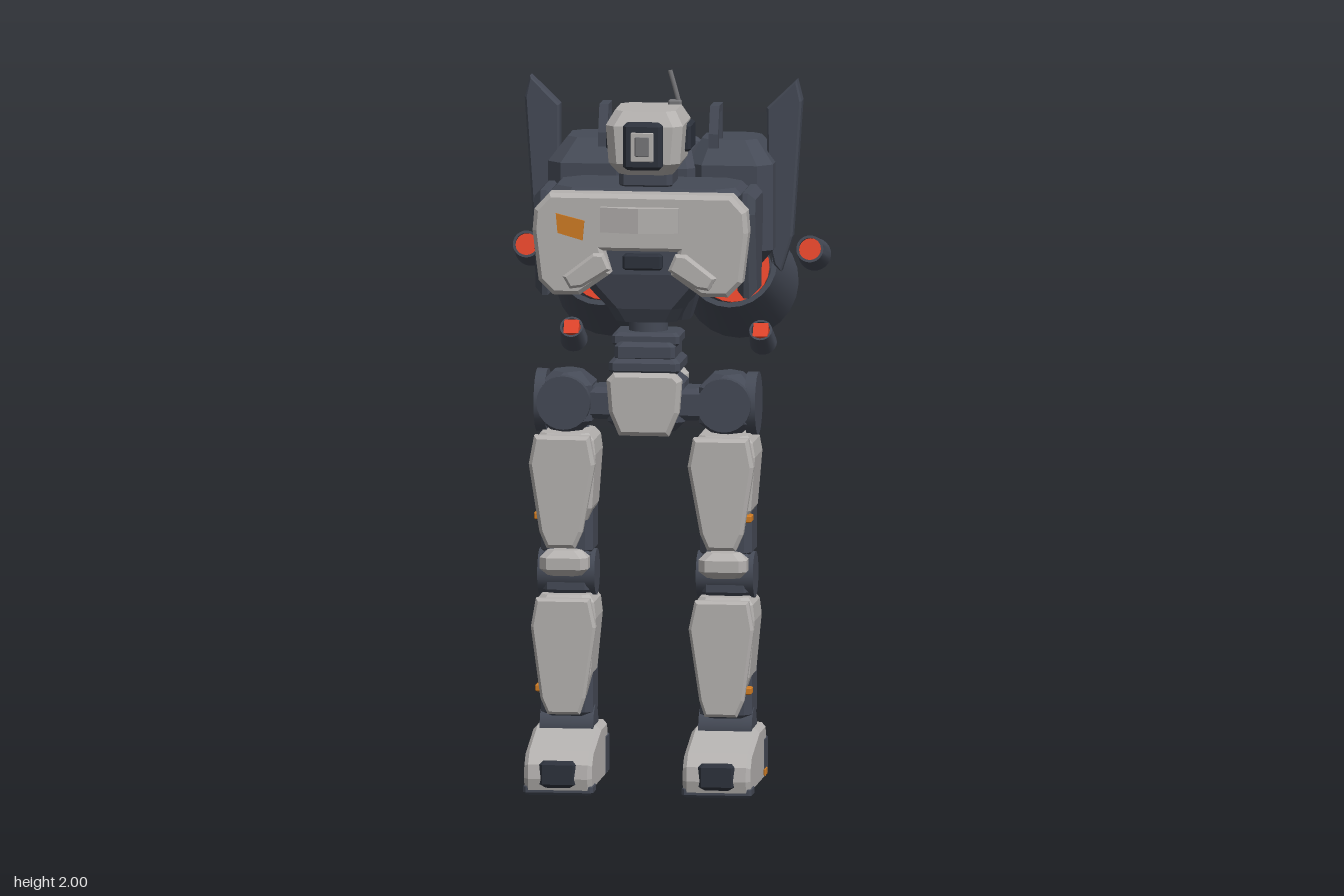
import * as THREE from 'three';
import { toCreasedNormals } from 'three/addons/utils/BufferGeometryUtils.js';

const paint = (name, color) => new THREE.MeshStandardMaterial({ name, color, side: THREE.DoubleSide });

export function createModel() {
  const root = new THREE.Group();
  root.name = 'walkingRobot';
  const dark = paint('slateFrame', 0x454a56);
  const light = paint('paleArmour', 0xb5b2b0);
  const black = paint('darkGlass', 0x2d323c);
  const grey = paint('midGrey', 0x77777a);
  const orange = paint('orangeMark', 0xd07c24);
  const red = paint('redGlow', 0xe2452b);

  const add = (name, geo, mat, parent = root) => {
    const m = new THREE.Mesh(geo, mat);
    m.name = name;
    parent.add(m);
    return m;
  };

  // Stacked chamfered rectangles, each [y, x0, x1, z0, z1, chamfer], from bottom to top
  const loft = (name, mat, rows, s = 1, parent = root) => {
    const pos = [], idx = [];
    rows.forEach(([y, a, b, z0, z1, c]) => {
      const x0 = s < 0 ? -b : a, x1 = s < 0 ? -a : b;
      [[x0 + c, z1], [x1 - c, z1], [x1, z1 - c], [x1, z0 + c], [x1 - c, z0], [x0 + c, z0], [x0, z0 + c], [x0, z1 - c]]
        .forEach(([x, z]) => pos.push(x, y, z));
    });
    for (let i = 0; i < rows.length - 1; i++) {
      for (let j = 0; j < 8; j++) {
        const a = i * 8 + j, b = i * 8 + (j + 1) % 8;
        idx.push(a, b, b + 8, a, b + 8, a + 8);
      }
    }
    const t = (rows.length - 1) * 8;
    for (let j = 1; j < 7; j++) idx.push(0, j + 1, j, t, t + j, t + j + 1);
    let g = new THREE.BufferGeometry();
    g.setAttribute('position', new THREE.Float32BufferAttribute(pos, 3));
    g.setIndex(idx);
    g = g.toNonIndexed();
    g.computeVertexNormals();
    return add(name, g, mat, parent);
  };

  // Block with all edges chamfered, given by its limits
  const block = (name, mat, x0, x1, y0, y1, z0, z1, c = 0.01, s = 1, parent = root) => loft(name, mat, [
    [y0, x0 + c, x1 - c, z0 + c, z1 - c, c], [y0 + c, x0, x1, z0, z1, c],
    [y1 - c, x0, x1, z0, z1, c], [y1, x0 + c, x1 - c, z0 + c, z1 - c, c]], s, parent);

  // Outline in x and y, extruded between two z values
  const plate = (name, mat, pts, z0, z1, bevel = 0, s = 1, parent = root) => {
    const g = new THREE.ExtrudeGeometry(new THREE.Shape(pts.map(([x, y]) => new THREE.Vector2(x * s, y))), {
      depth: z1 - z0 - 2 * bevel, bevelEnabled: bevel > 0, bevelSize: bevel, bevelOffset: -bevel,
      bevelThickness: bevel, bevelSegments: 1 });
    return add(name, g.translate(0, 0, z0 + bevel), mat, parent);
  };

  // Outline in z and y, extruded across x
  const sidePlate = (name, mat, pts, x0, x1, bevel = 0, s = 1, parent = root) => {
    const m = plate(name, mat, pts, -(x1 - x0) / 2, (x1 - x0) / 2, bevel, 1, parent);
    m.geometry.rotateY(-Math.PI / 2).translate(s * (x0 + x1) / 2, 0, 0);
    return m;
  };

  const drum = (name, mat, r, len, axis, x, y, z, parent = root) => {
    const g = new THREE.CylinderGeometry(r, r, len, 24);
    if (axis === 'x') g.rotateZ(Math.PI / 2);
    if (axis === 'z') g.rotateX(Math.PI / 2);
    return add(name, g.translate(x, y, z), mat, parent);
  };

  // Open nozzle along local y, front at the top
  const nozzle = (name, r0, r1, len, wall, x, y, z, tilt) => {
    const g = new THREE.Group();
    g.name = name;
    g.position.set(x, y, z);
    g.rotation.x = tilt;
    root.add(g);
    const h = len / 2;
    const pts = [[r1, -h], [r0, h], [r0 - wall, h], [r1 - wall, -h], [r1, -h]].map((p) => new THREE.Vector2(...p));
    add('nozzleShell', toCreasedNormals(new THREE.LatheGeometry(pts, 24), 0.6), dark, g);
    return g;
  };

  for (const s of [1, -1]) {
    // Foot
    sidePlate('foot', light, [[0.12, 0.01], [0.48, 0.01], [0.49, 0.05], [0.485, 0.09], [0.45, 0.125], [0.27, 0.17],
      [0.13, 0.17], [0.11, 0.13]], 0.127, 0.317, 0.012, s);
    block('heel', dark, 0.125, 0.319, 0.015, 0.135, 0.09, 0.185, 0.01, s);
    block('toeCap', black, 0.17, 0.275, 0.025, 0.1, 0.42, 0.494, 0.01, s);
    block('toeSole', dark, 0.124, 0.32, 0.003, 0.035, 0.4, 0.482, 0.008, s);
    block('heelMark', orange, 0.317, 0.322, 0.025, 0.045, 0.13, 0.18, 0.002, s);
    drum('ankle', dark, 0.06, 0.15, 'x', s * 0.222, 0.165, 0.23);
    // Shin
    block('calf', dark, 0.15, 0.295, 0.19, 0.56, 0.135, 0.29, 0.02, s);
    loft('shinShell', light, [[0.26, 0.165, 0.275, 0.19, 0.335, 0.02], [0.32, 0.15, 0.295, 0.15, 0.345, 0.02],
      [0.48, 0.135, 0.31, 0.142, 0.35, 0.025], [0.525, 0.14, 0.305, 0.145, 0.35, 0.025], [0.545, 0.155, 0.29, 0.165, 0.33, 0.02]], s);
    plate('shinGuard', light, [[0.175, 0.215], [0.265, 0.215], [0.285, 0.26], [0.312, 0.46], [0.298, 0.54],
      [0.147, 0.54], [0.13, 0.46], [0.16, 0.26]], 0.34, 0.375, 0.008, s);
    block('shinMark', orange, 0.285, 0.303, 0.275, 0.295, 0.305, 0.345, 0.003, s);
    // Knee
    drum('kneeJoint', dark, 0.065, 0.16, 'x', s * 0.222, 0.6, 0.24);
    block('kneeLink', dark, 0.155, 0.29, 0.54, 0.67, 0.17, 0.3, 0.015, s);
    block('kneeCap', light, 0.155, 0.29, 0.6, 0.672, 0.28, 0.365, 0.02, s);
    // Thigh
    block('thighFrame', dark, 0.15, 0.295, 0.645, 1.0, 0.135, 0.29, 0.02, s);
    loft('thighShell', light, [[0.755, 0.16, 0.28, 0.18, 0.34, 0.02], [0.79, 0.145, 0.3, 0.148, 0.355, 0.025],
      [0.94, 0.135, 0.312, 0.142, 0.358, 0.025], [0.98, 0.14, 0.305, 0.145, 0.355, 0.025], [1.0, 0.155, 0.29, 0.165, 0.34, 0.02]], s);
    plate('thighGuard', light, [[0.185, 0.685], [0.265, 0.685], [0.285, 0.73], [0.315, 0.92], [0.3, 1.0],
      [0.145, 1.0], [0.13, 0.92], [0.165, 0.73]], 0.355, 0.4, 0.01, s);
    block('thighMark', orange, 0.285, 0.305, 0.76, 0.78, 0.31, 0.358, 0.003, s);
    // Hip
    block('hipBlock', dark, 0.15, 0.298, 0.995, 1.165, 0.14, 0.33, 0.035, s);
    drum('hipDisc', dark, 0.088, 0.03, 'x', s * 0.295, 1.08, 0.235);
    drum('hipFrontDisc', dark, 0.075, 0.03, 'z', s * 0.225, 1.085, 0.325);
    block('hipAxle', dark, 0.08, 0.17, 1.035, 1.125, 0.18, 0.3, 0.015, s);
    // Chest pads and shoulder sockets
    plate('chestPad', light, [[0.08, 1.475], [0.1, 1.52], [0.13, 1.52], [0.215, 1.455], [0.195, 1.42], [0.16, 1.425]],
      0.41, 0.44, 0.008, s);
    sidePlate('shoulderSocket', dark, [[0.13, 1.68], [0.32, 1.68], [0.335, 1.62], [0.29, 1.38], [0.16, 1.38], [0.115, 1.62]],
      0.255, 0.31, 0.02, s);
    // Head side panel
    block('earPanel', black, 0.09, 0.119, 1.78, 1.86, 0.12, 0.23, 0.008, s);
    // Backpack pod, handle and fin
    loft('backpackPod', dark, [[1.405, 0.11, 0.26, -0.2, -0.06, 0.03], [1.47, 0.08, 0.315, -0.27, -0.005, 0.04],
      [1.71, 0.08, 0.315, -0.285, -0.005, 0.04], [1.775, 0.11, 0.265, -0.225, -0.06, 0.03]], s);
    sidePlate('packHandle', dark, [[0.01, 1.76], [0.01, 1.8], [-0.02, 1.875], [-0.1, 1.875], [-0.1, 1.76], [-0.08, 1.76],
      [-0.08, 1.855], [-0.03, 1.855], [-0.01, 1.805], [-0.01, 1.76]], 0.142, 0.168, 0, s);
    plate('fin', dark, [[0.31, 1.42], [0.33, 1.4], [0.362, 1.5], [0.388, 1.88], [0.373, 1.94], [0.29, 1.86], [0.292, 1.5]],
      -0.155, -0.1, 0.006, s);
    const strip = block('packLight', red, 0.14, 0.22, 1.625, 1.66, -0.288, -0.28, 0.002, s);
    strip.userData.side = s;
    // Main thruster
    const t = nozzle('mainThruster', 0.13, 0.16, 0.256, 0.014, s * 0.18, 1.37, -0.305, 1.213);
    drum('thrusterCore', dark, 0.1, 0.03, 'y', 0, 0.04, 0, t);
    drum('thrusterGlow', red, 0.1, 0.008, 'y', 0, 0.06, 0, t);
    const ring = add('thrusterRing', new THREE.TorusGeometry(0.09, 0.012, 6, 24).rotateX(Math.PI / 2), dark, t);
    ring.position.y = 0.0;
    for (let i = 0; i < 3; i++) {
      const bar = add('glowBar', new THREE.BoxGeometry(0.13, 0.012, 0.012).translate(0.075, 0.0, 0), red, t);
      bar.rotation.y = Math.PI / 2 + i * Math.PI * 2 / 3;
    }
    // Side thruster
    const v = nozzle('sideThruster', 0.038, 0.046, 0.115, 0.007, s * 0.397, 1.435, -0.272, 1.3);
    drum('sideThrusterGlow', red, 0.032, 0.06, 'y', 0, 0.012, 0, v);
    // Lower thruster
    const l = nozzle('lowerThruster', 0.032, 0.038, 0.075, 0.006, s * 0.265, 1.205, -0.2, 0.95);
    add('lowerThrusterGlow', new THREE.BoxGeometry(0.042, 0.05, 0.042).translate(0, 0.015, 0), red, l);
  }

  // Pelvis and waist
  block('pelvisCore', dark, -0.108, 0.108, 1.0, 1.17, 0.155, 0.315, 0.03);
  const shield = [[-0.07, 0.995], [0.07, 0.995], [0.098, 1.06], [0.105, 1.15], [0.085, 1.172], [-0.085, 1.172], [-0.105, 1.15], [-0.098, 1.06]];
  plate('pelvisFront', light, shield, 0.29, 0.34, 0.012);
  plate('pelvisBack', light, shield, 0.14, 0.18, 0.012);
  block('waistBase', dark, -0.1, 0.1, 1.165, 1.21, 0.14, 0.33, 0.012);
  block('waistRing', dark, -0.085, 0.085, 1.2, 1.255, 0.145, 0.32, 0.012);
  block('waistCollar', dark, -0.095, 0.095, 1.24, 1.28, 0.155, 0.3, 0.01);
  drum('waistPost', dark, 0.055, 0.12, 'y', 0, 1.3, 0.225);

  // Torso
  loft('torso', dark, [[1.31, -0.085, 0.085, 0.14, 0.3, 0.03], [1.35, -0.105, 0.105, 0.11, 0.32, 0.03],
    [1.45, -0.2, 0.2, 0.08, 0.345, 0.04], [1.58, -0.27, 0.27, 0.07, 0.345, 0.055], [1.67, -0.27, 0.27, 0.07, 0.345, 0.055],
    [1.69, -0.25, 0.25, 0.085, 0.33, 0.05]]);
  block('bellyPanel', black, -0.055, 0.055, 1.465, 1.51, 0.335, 0.37, 0.006);
  plate('chestArmour', light, [[0.255, 1.685], [0.297, 1.64], [0.302, 1.58], [0.285, 1.44], [0.245, 1.4], [0.17, 1.4],
    [0.085, 1.46], [0.105, 1.525], [-0.105, 1.525], [-0.085, 1.46], [-0.17, 1.4], [-0.245, 1.4], [-0.285, 1.44],
    [-0.302, 1.58], [-0.297, 1.64], [-0.255, 1.685]], 0.34, 0.42, 0.012);
  const wedge = new THREE.ExtrudeGeometry(new THREE.Shape([[-0.11, -0.41], [-0.11, -0.435], [0, -0.458], [0.11, -0.435], [0.11, -0.41]]
    .map((p) => new THREE.Vector2(...p))), { depth: 0.07, bevelEnabled: false });
  add('chestWedge', wedge.rotateX(-Math.PI / 2).translate(0, 1.58, 0), light);
  plate('chestMark', orange, [[-0.235, 1.63], [-0.23, 1.575], [-0.16, 1.555], [-0.155, 1.61]], 0.417, 0.426);

  // Head
  block('neck', dark, -0.075, 0.075, 1.68, 1.745, 0.15, 0.3, 0.015);
  const skull = [[1.725, 0.075, 0.15, 0.31], [1.76, 0.1, 0.122, 0.345], [1.865, 0.108, 0.118, 0.345], [1.905, 0.085, 0.14, 0.32]];
  loft('head', light, skull.map(([y, x, a, b]) => [y, -x, x, a, b, 0.025]));
  block('faceFrame', black, -0.055, 0.055, 1.745, 1.878, 0.33, 0.37, 0.01);
  block('faceScreen', light, -0.032, 0.032, 1.77, 1.852, 0.366, 0.373, 0.002);
  block('faceLens', grey, -0.02, 0.02, 1.785, 1.84, 0.371, 0.376, 0.002);
  block('antennaBase', grey, 0.048, 0.085, 1.9, 1.918, 0.15, 0.175, 0.004);
  const rod = new THREE.CatmullRomCurve3([[0.078, 1.91, 0.165], [0.066, 1.955, 0.165], [0.053, 2, 0.165]].map((p) => new THREE.Vector3(...p)));
  add('antenna', new THREE.TubeGeometry(rod, 4, 0.007, 6), grey);

  // Backpack centre and mount
  loft('backpackCore', dark, [[1.27, -0.08, 0.08, -0.15, -0.04, 0.02], [1.34, -0.1, 0.1, -0.2, 0, 0.02],
    [1.5, -0.1, 0.1, -0.275, 0, 0.02], [1.7, -0.1, 0.1, -0.275, 0, 0.02], [1.745, -0.085, 0.085, -0.23, -0.04, 0.02]]);
  block('packLid', dark, -0.075, 0.075, 1.72, 1.77, -0.225, -0.05, 0.025);
  block('packRidge', dark, -0.088, 0.088, 1.69, 1.755, -0.282, -0.235, 0.012);
  block('packCentreLight', red, -0.03, 0.03, 1.52, 1.545, -0.284, -0.274, 0.002);
  for (const x of [-0.085, 0.085]) block('mountRail', dark, x - 0.013, x + 0.013, 1.43, 1.6, -0.01, 0.045, 0.004);
  block('mountCrossbar', dark, -0.09, 0.09, 1.5, 1.54, 0.02, 0.045, 0.004);
  block('mountPlate', grey, -0.2, 0.2, 1.41, 1.62, 0.038, 0.06, 0.008);
  block('mountSocket', dark, -0.09, 0.09, 1.45, 1.58, 0.055, 0.09, 0.005);
  return root;
}
